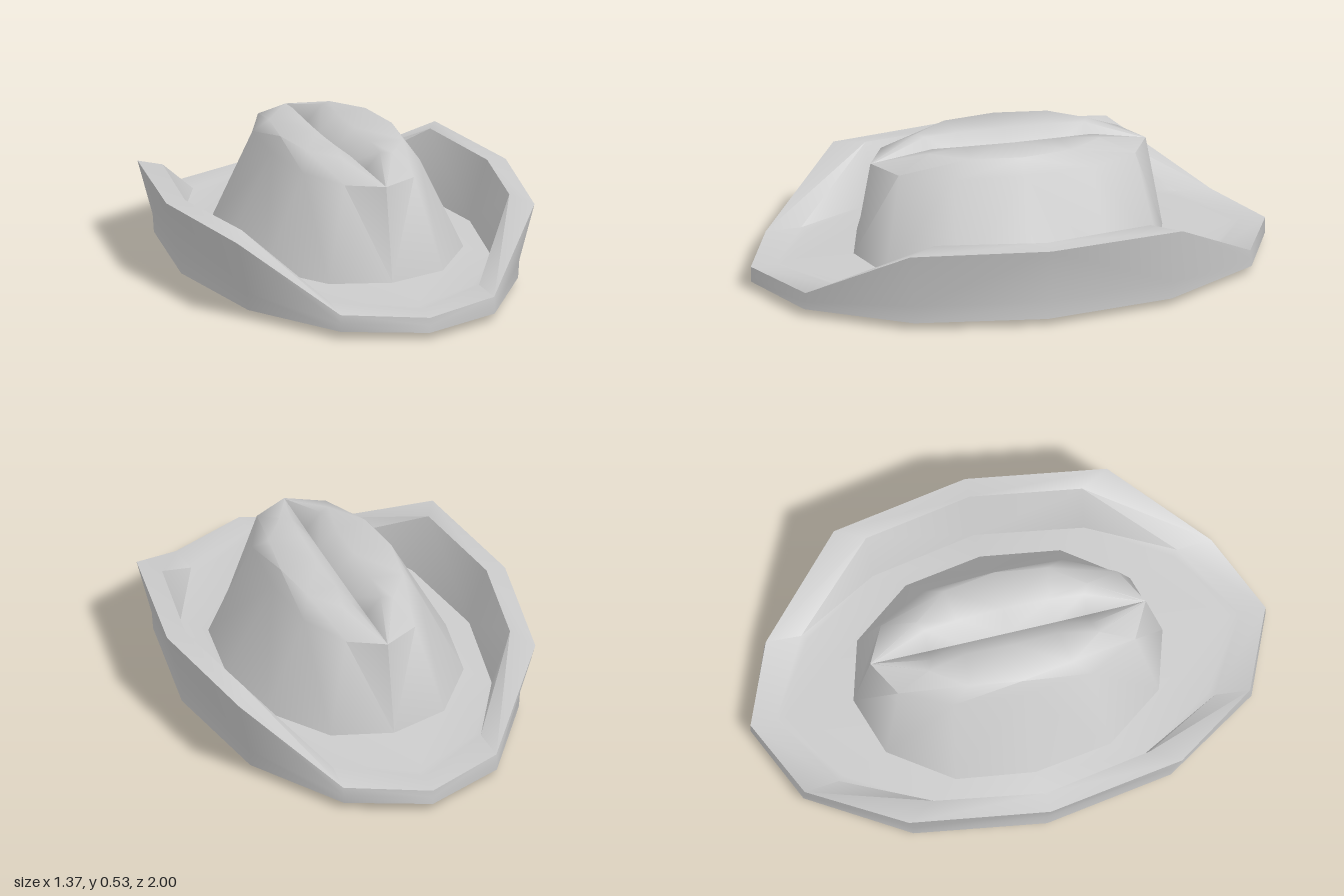
import * as THREE from 'three';
import { toCreasedNormals } from 'three/addons/utils/BufferGeometryUtils.js';

// Mirrors four points (front centre to the left side) into a ring of twelve
function ring(q) {
  const points = [];
  for (let i = 0; i < 12; i++) {
    const k = i % 6;
    const [x, y, z] = q[i === 6 ? 0 : i % 12 <= 3 ? i : i < 6 ? 6 - i : i <= 9 ? i - 6 : 12 - i];
    const sx = i < 6 || k === 0 ? 1 : -1;
    const sz = i > 3 && i < 9 ? -1 : 1;
    // the turned-up brim is slightly lower on the right side
    const drop = sx < 0 && y > 0.3 && x > 0.5 ? 0.015 : 0;
    points.push(new THREE.Vector3(sx * x, y - drop, sz * z));
  }
  return points;
}

// Skins a stack of rings, leaving out collapsed triangles
function skin(name, quarters, crease, material) {
  const rings = quarters.map(ring);
  const pos = [];
  const tri = (a, b, c) => {
    const area = b.clone().sub(a).cross(c.clone().sub(a)).length();
    if (area > 1e-7) for (const p of [a, b, c]) pos.push(p.x, p.y, p.z);
  };
  for (let r = 0; r + 1 < rings.length; r++) {
    for (let i = 0; i < 12; i++) {
      const j = (i + 1) % 12;
      const a = rings[r][i], b = rings[r][j], c = rings[r + 1][j], d = rings[r + 1][i];
      if (i % 6 < 3) { tri(a, b, c); tri(a, c, d); }
      else { tri(a, b, d); tri(b, c, d); }
    }
  }
  const geometry = new THREE.BufferGeometry();
  geometry.setAttribute('position', new THREE.Float32BufferAttribute(pos, 3));
  const mesh = new THREE.Mesh(toCreasedNormals(geometry, crease), material);
  mesh.name = name;
  return mesh;
}

export function createModel() {
  const group = new THREE.Group();
  group.name = 'hat';
  const material = new THREE.MeshStandardMaterial({ color: 0xcccccc, roughness: 0.8 });

  const crownBase = [[0, 0.105, 0.6], [0.23, 0.105, 0.53], [0.4, 0.11, 0.3], [0.445, 0.115, 0]];

  // Brim: shallow underside, rolled-up sides, thick lip and floor
  group.add(skin('brim', [
    [[0, 0, 0], [0, 0, 0], [0, 0, 0], [0, 0, 0]],
    [[0, 0.03, 1], [0.31, 0.03, 0.87], [0.545, 0.03, 0.5], [0.625, 0.03, 0]],
    [[0, 0.06, 1], [0.31, 0.06, 0.87], [0.55, 0.1, 0.5], [0.625, 0.1, 0]],
    [[0, 0.09, 1], [0.31, 0.095, 0.865], [0.6, 0.325, 0.53], [0.685, 0.33, 0]],
    [[0, 0.092, 0.9], [0.3, 0.102, 0.73], [0.54, 0.337, 0.42], [0.61, 0.335, 0]],
    [[0, 0.093, 0.86], [0.28, 0.095, 0.71], [0.47, 0.1, 0.41], [0.54, 0.1, 0]],
    crownBase,
  ], 0.95, material));

  // Crown: tapered wall, bevelled shoulder, two ridges and a centre crease
  group.add(skin('crown', [
    crownBase,
    [[0, 0.465, 0.535], [0.14, 0.465, 0.46], [0.235, 0.465, 0.27], [0.258, 0.465, 0]],
    [[0, 0.465, 0.53], [0.1, 0.526, 0.33], [0.195, 0.528, 0.2], [0.225, 0.528, 0]],
    [[0, 0.465, 0.525], [0.06, 0.526, 0.31], [0.07, 0.528, 0.18], [0.075, 0.528, 0]],
    [[0, 0.465, 0.52], [0, 0.46, 0.31], [0, 0.458, 0.18], [0, 0.458, 0]],
  ], 0.95, material));

  return group;
}
